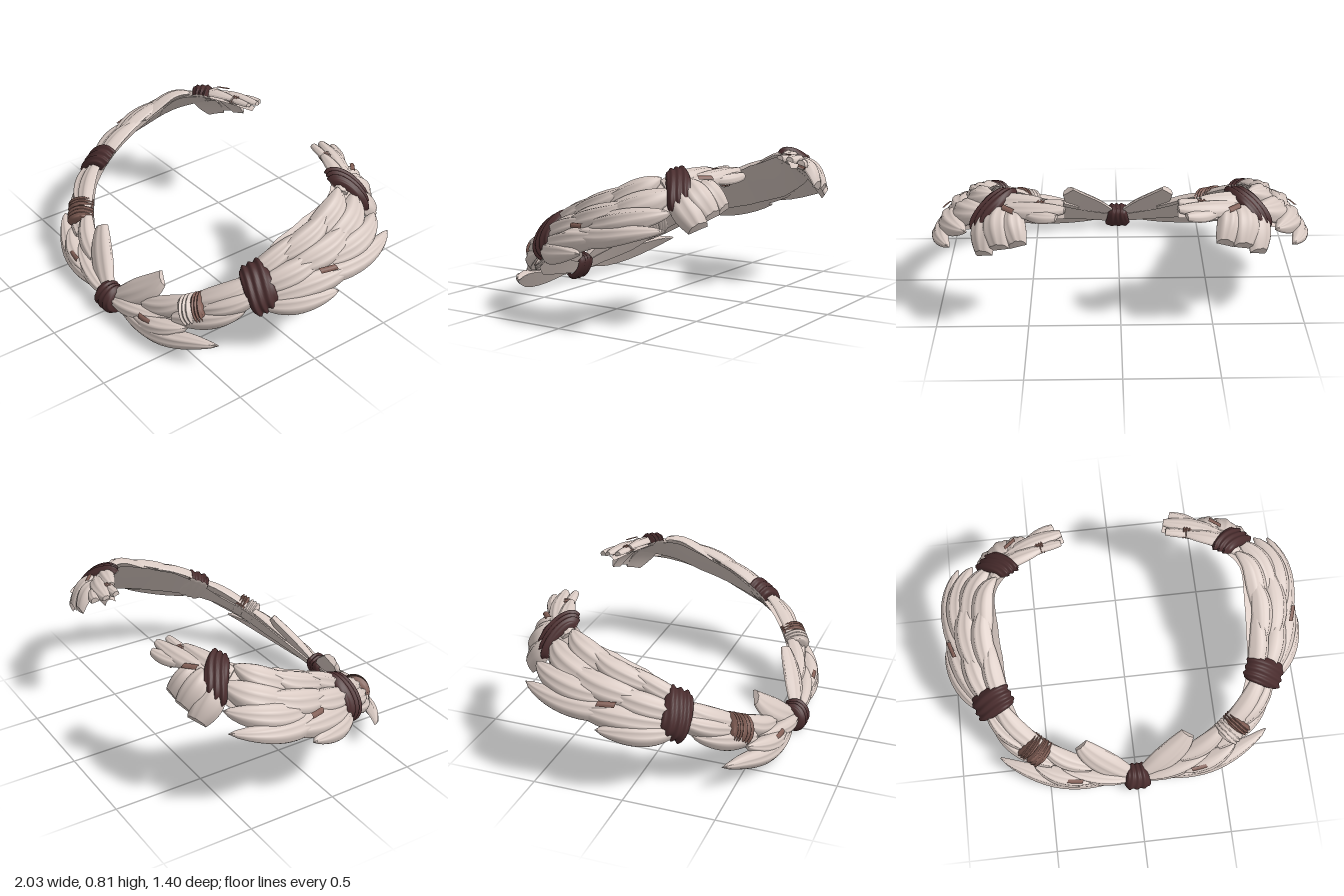
import * as THREE from 'three';
import { mergeGeometries } from 'three/addons/utils/BufferGeometryUtils.js';

const mat = (name, color) => {
  const m = new THREE.MeshStandardMaterial({ color });
  m.name = name;
  return m;
};

export function createModel() {
  const pale = mat('paleLeaf', 0xd8c9c2);
  const dark = mat('darkWrap', 0x4a2d2e);
  const brown = mat('brownWrap', 0x825f56);
  const { lerp, clamp, degToRad } = THREE.MathUtils;

  const wreath = new THREE.Group();
  wreath.name = 'wreath';

  // Spine of one half, from the front centre to the open back end
  const half = [
    [0, .085, .62], [.2, .12, .59], [.4, .18, .53], [.55, .265, .44], [.67, .34, .33],
    [.745, .415, .2], [.8, .5, 0], [.81, .57, -.2], [.76, .65, -.37], [.64, .705, -.48],
    [.47, .73, -.55], [.28, .74, -.6],
  ].map(p => new THREE.Vector3(...p));
  const mirrored = half.slice(1).reverse().map(p => new THREE.Vector3(-p.x, p.y, p.z));
  const spine = new THREE.CatmullRomCurve3([...mirrored, ...half]);
  const up = new THREE.Vector3(0, 1, 0);

  // Point at u along the spine, v across the band (outwards and down), h off its face
  function place(u, v, h, side) {
    const t = clamp((u + 11) / 22, 0, 1);
    const p = spine.getPoint(t);
    const T = spine.getTangent(t);
    const out = T.clone().cross(up).normalize();
    const rise = out.clone().cross(T);
    const a = degToRad(60 - 2.7 * Math.abs(u) - 5 * Math.max(0, u - 8.5));
    p.addScaledVector(out, v * Math.cos(a) + h * Math.sin(a));
    p.addScaledVector(rise, h * Math.cos(a) - v * Math.sin(a));
    p.x *= side;
    return p;
  }

  // Surface from a rule f(s, c), s in 0..1 and c in -1..1
  function grid(f, n, m, flip) {
    const pos = [], idx = [];
    for (let i = 0; i <= n; i++) {
      for (let j = 0; j <= m; j++) pos.push(...f(i / n, j / m * 2 - 1).toArray());
    }
    for (let i = 0; i < n; i++) {
      for (let j = 0; j < m; j++) {
        const a = i * (m + 1) + j, b = a + 1, c = a + m + 1, d = c + 1;
        idx.push(...(flip ? [a, c, b, b, c, d] : [a, b, c, b, d, c]));
      }
    }
    const g = new THREE.BufferGeometry();
    g.setAttribute('position', new THREE.Float32BufferAttribute(pos, 3));
    g.setIndex(idx);
    g.computeVertexNormals();
    return g;
  }

  function add(name, geometry, material) {
    const mesh = new THREE.Mesh(geometry, material);
    mesh.name = name;
    wreath.add(mesh);
  }

  // Domed, softly ribbed leaf with a flat back
  function leaf(side, [u0, v0, u1, v1, W, H], blunt, bend, base) {
    const unit = .2; // length of one step of u
    const dir = new THREE.Vector2((u1 - u0) * unit, v1 - v0).normalize();
    const shape = s => Math.pow(Math.max(0, Math.sin(Math.PI * (.15 + (.85 - blunt) * s))), .7);
    const at = (s, c, k) => {
      const w = W * (shape(s) * c + .15 * Math.sin(Math.PI * s));
      const dome = Math.pow(Math.max(0, 1 - c * c), .6) * (1 + .1 * Math.cos(3 * Math.PI * c));
      return place(
        lerp(u0, u1, s) - dir.y * w / unit,
        lerp(v0, v1, s) + dir.x * w,
        base + bend * s * s + k * (.012 + H * shape(s) * dome), side);
    };
    const flip = side < 0;
    const rim = c => (s, e) => at(s, c, (e + 1) / 2);
    const end = s => (r, c) => at(s, c, r);
    add('leaf', mergeGeometries([
      grid((s, c) => at(s, c, 1), 16, 12, flip),
      grid((s, c) => at(s, c, 0), 8, 2, !flip),
      grid(rim(1), 16, 1, !flip), grid(rim(-1), 16, 1, flip),
      grid(end(0), 1, 12, flip), grid(end(1), 1, 12, !flip),
    ]), pale);
  }

  // Row of overlapping leaves, blended from the first to the last:
  // [u at base, v at base, u at tip, v at tip, half width, height]
  function leafRow(count, first, last, blunt = 0, bend = .01) {
    for (let i = 0; i < count; i++) {
      const spec = first.map((a, k) => lerp(a, last[k], i / Math.max(1, count - 1)));
      for (const side of [1, -1]) leaf(side, spec, blunt, bend, .012 * (i % 2));
    }
  }

  // Ribbed binding arched over the band, with a shallow underside
  function wrap(side, name, u, span, V, H, top, under, skew = 0, depth = .014) {
    const arch = (height, ribs) => (s, c) => {
      const th = Math.PI * s;
      const q = 1 - .5 * Math.pow(c, 8);
      const rib = 1 + ribs * Math.cos(4 * Math.PI * c + 1.2 * Math.sin(2 * th));
      const x = V * q * rib * Math.cos(th);
      const y = height * q * rib * Math.pow(Math.max(0, Math.sin(th)), .8);
      return place(u + span / 2 * c + skew * x, .008 + x, y, side);
    };
    add(name, grid(arch(H, .05), 24, 32, side < 0), top);
    add(name + 'Underside', grid(arch(-depth, .05), 12, 32, side > 0), under);
  }

  // Front spray: one leaf turned up, one turned down, one filling between
  const raised = [.2, -.01, 1.9, -.18, .08, .04];
  const lowered = [.6, .02, 3.5, .22, .055, .055];
  leafRow(1, raised, raised, .14, .02);
  leafRow(1, lowered, lowered);
  leafRow(2, [.25, .01, 2.1, .03, .05, .06], [1.2, .05, 2.7, .1, .055, .06]);
  // Stem leaves running under the front and side bindings
  leafRow(2, [1.3, -.03, 3.1, -.05, .06, .05], [2.8, -.02, 5.3, -.04, .07, .05]);
  leafRow(2, [2.3, .03, 4.4, .09, .06, .055], [3.2, .02, 5.2, .04, .055, .06]);
  // Outer, middle and inner rows of the broad sides
  leafRow(2, [5, .1, 6.5, .24, .065, .05], [6.1, .08, 8.15, .26, .065, .045]);
  leafRow(2, [5.1, .07, 7.3, .18, .075, .065], [6.6, .07, 8.4, .16, .075, .065]);
  leafRow(3, [5, .01, 6.8, .04, .08, .08], [6.8, .02, 8.8, .03, .085, .065]);
  leafRow(3, [4.9, -.06, 6.6, -.12, .06, .06], [6.7, -.08, 8.7, -.08, .075, .055]);
  // Short drooping fan behind the rear binding, then the open end
  leafRow(3, [8.85, .02, 8.9, .24, .08, .05], [9.6, .02, 9.85, .18, .07, .05], .2, -.07);
  leafRow(2, [8.6, -.04, 10.3, -.05, .055, .035], [9.3, .01, 11, .01, .05, .03], .08);
  leafRow(2, [10, -.03, 10.9, -.05, .03, .02], [10, .04, 10.85, .07, .035, .025], .15);

  // Half width of the inner lining along the spine
  const lining = [.035, .05, .08, .07, .06, .1, .16, .17, .13, .09, .06, .03];
  const width = s => {
    const i = Math.min(10, Math.floor(s * 11));
    return lerp(lining[i], lining[i + 1], s * 11 - i);
  };

  for (const side of [1, -1]) {
    const flip = side < 0;
    const face = k => (s, c) => place(s * 11, c * width(s), k * (1 - c * c) - .01, side);
    add('innerLining', mergeGeometries([
      grid(face(.025), 44, 4, flip), grid(face(0), 44, 4, !flip),
    ]), pale);

    wrap(side, 'frontBinding', 2.85, .44, .085, .1, side > 0 ? pale : brown, pale);
    wrap(side, 'frontBindingEdge', 3.2, .36, .085, .1, brown, pale);
    wrap(side, 'sideBinding', 5, .8, .135, .095, dark, pale, -.6);
    wrap(side, 'rearBinding', 8.95, .72, .125, .072, dark, pale, -2.2);
    wrap(side, 'endBinding', 10.3, .3, .07, .045, brown, pale);

    // Small brown stems showing between leaves
    for (const [u, v, h] of [[1.45, .035, .078], [6.3, .1, .095], [9.4, .03, .065]]) {
      const stem = (s, c) => place(u + s * .35, v + c * .016 + s * .03, h + .008 * (1 - c * c), side);
      add('stem', grid(stem, 4, 4, flip), brown);
    }
  }
  wrap(1, 'centreBinding', 0, .68, .08, .08, dark, dark, 0, .04);

  return wreath;
}
